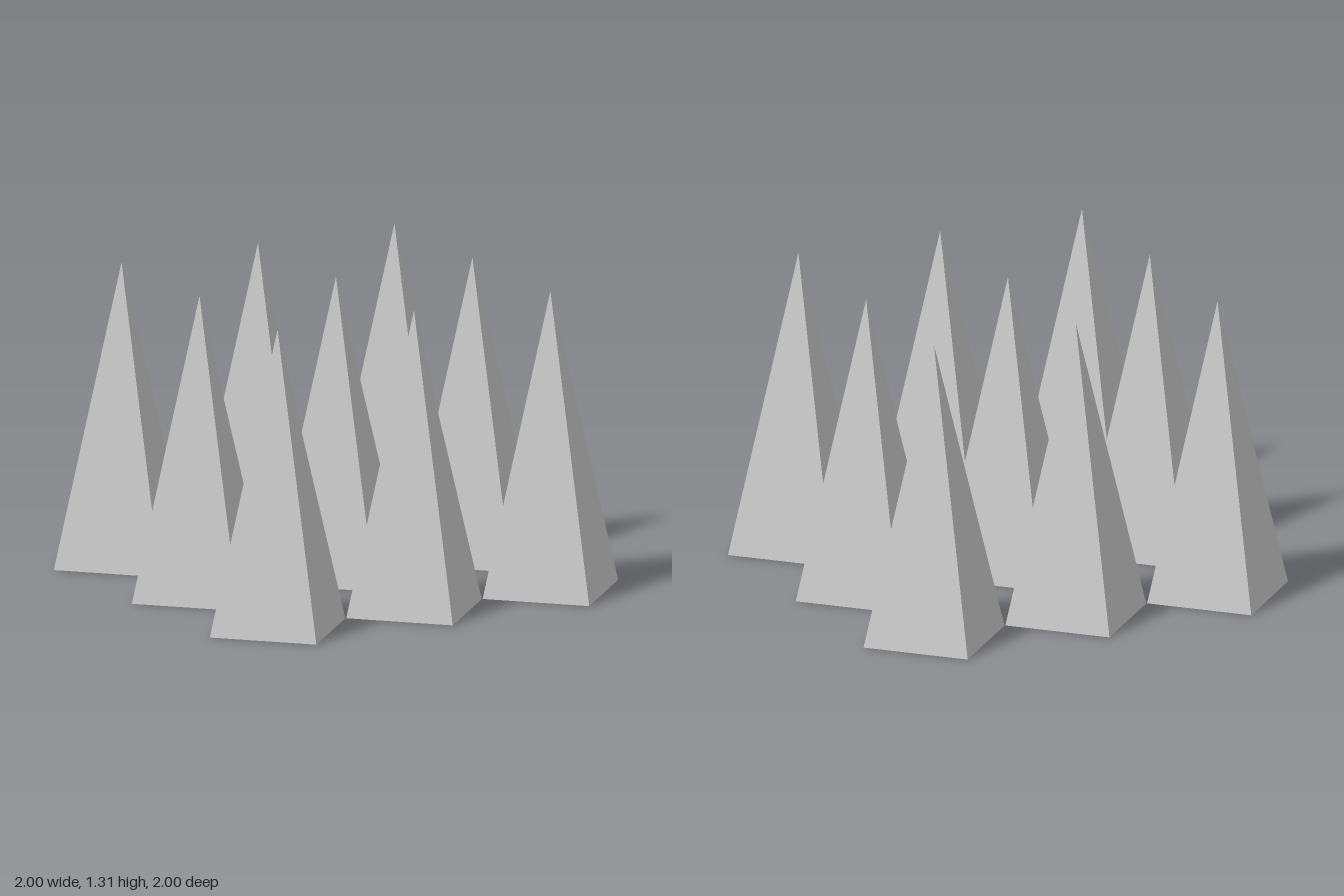
import * as THREE from 'three';

export function createModel() {
  const group = new THREE.Group();
  group.name = 'spikeGrid';
  const radius = 0.332, height = 1.31, spacing = 1 - radius;
  const material = new THREE.MeshStandardMaterial({ color: 0xcccccc, flatShading: true });

  // Four-sided spike with a closed base, corners on the x and z axes
  const geometry = new THREE.ConeGeometry(radius, height, 4);
  geometry.translate(0, height / 2, 0);

  // Three rows of three spikes, nearly touching corner to corner
  for (let row = -1; row <= 1; row++) {
    for (let col = -1; col <= 1; col++) {
      const spike = new THREE.Mesh(geometry, material);
      spike.name = `spikeRow${row + 2}Column${col + 2}`;
      spike.position.set(col * spacing, 0, row * spacing);
      group.add(spike);
    }
  }
  return group;
}
